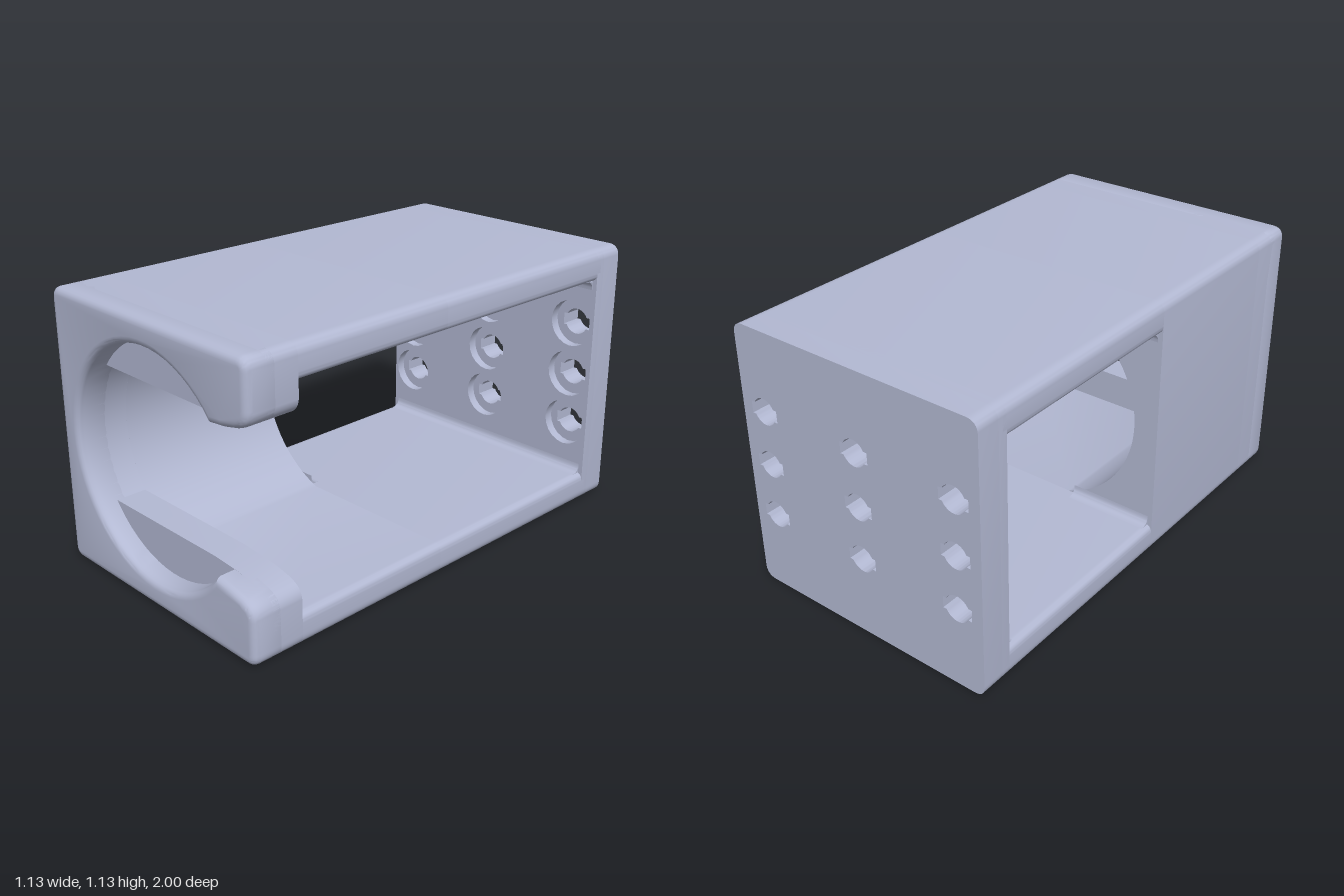
import * as THREE from 'three';
import { toCreasedNormals } from 'three/addons/utils/BufferGeometryUtils.js';

const W = 0.565, H = 1.13, CY = 0.565, R = 0.46, EDGE = 0.05;
const FLOOR = 0.13;

// Closed outline from [x, y, cornerRadius] points
function outline(pts) {
  const shape = new THREE.Shape();
  const n = pts.length;
  pts.forEach(([x, y, r = 0], i) => {
    const p = new THREE.Vector2(x, y);
    const toward = ([a, b]) => p.clone().add(new THREE.Vector2(a, b).sub(p).setLength(r));
    const a = r ? toward(pts[(i + n - 1) % n]) : p;
    if (i === 0) shape.moveTo(a.x, a.y);
    else shape.lineTo(a.x, a.y);
    if (r) {
      const b = toward(pts[(i + 1) % n]);
      shape.quadraticCurveTo(x, y, b.x, b.y);
    }
  });
  shape.closePath();
  return shape;
}

// C-shaped section: arc on the left, mirrored mouth edges running out to the right
function cSection(startAngle, mouth) {
  const arc = [];
  const steps = 48, end = 2 * Math.PI - startAngle;
  for (let i = 0; i <= steps; i++) {
    const a = end + (startAngle - end) * i / steps;
    arc.push([R * Math.cos(a), CY + R * Math.sin(a)]);
  }
  const upper = mouth.map(([x, d, r]) => [x, CY + d, r]);
  const lower = mouth.map(([x, d, r]) => [x, CY - d, r]).reverse();
  return outline([[W, 0, EDGE], ...lower, ...arc, ...upper,
    [W, H, EDGE], [-W, H, EDGE], [-W, 0, EDGE]]);
}

export function createModel() {
  const group = new THREE.Group();
  const material = new THREE.MeshStandardMaterial({ color: 0xb3b9d3 });
  material.name = 'paleBlueGrey';

  function add(name, geometry) {
    const mesh = new THREE.Mesh(toCreasedNormals(geometry, 0.5), material);
    mesh.name = name;
    group.add(mesh);
    return mesh;
  }
  function slice(name, shape, z0, z1, bevel = 0) {
    const geometry = new THREE.ExtrudeGeometry(shape, {
      depth: z1 - z0 - 2 * bevel, curveSegments: 10, bevelEnabled: bevel > 0,
      bevelThickness: bevel, bevelSize: bevel, bevelOffset: -bevel, bevelSegments: 5,
    });
    geometry.translate(0, 0, z0 + bevel);
    return add(name, geometry);
  }

  // Front rim: round recess with a flared mouth
  const flare = [[0.43, 0.295], [0.5, 0.31], [W, 0.335, 0.05]];
  slice('frontRim', cSection(Math.atan2(0.29, 0.36), flare), 0.85, 1, 0.03);

  // Retaining lip: narrower straight slot behind the recess
  slice('retainingLip',
    cSection(Math.PI - Math.asin(0.28 / R), [[0.25, 0.28], [0.36, 0.288], ...flare]), 0.78, 0.91);

  // Cradle: U-shaped bore open to the right
  const reach = CY - FLOOR;
  slice('cradle', cSection(Math.PI - Math.asin(reach / R), [[W, reach, 0.035]]), 0.06, 0.78);

  // Floor and roof beside the open bay
  for (const top of [false, true]) {
    const y = (v) => (top ? H - v : v);
    slice(top ? 'bayRoof' : 'bayFloor', outline([[-W, y(0), EDGE], [W, y(0), EDGE],
      [W, y(FLOOR), 0.035], [-W, y(FLOOR), 0.035]]), -0.88, 0.06);

    // Rounded inside corners of the bay
    const cove = (name, z, dir, x0, x1) => {
      const s = new THREE.Shape();
      s.moveTo(-z, y(FLOOR));
      s.lineTo(-z - dir * 0.04, y(FLOOR));
      s.quadraticCurveTo(-z, y(FLOOR), -z, y(FLOOR + 0.04));
      s.closePath();
      const g = new THREE.ExtrudeGeometry(s, { depth: x1 - x0, bevelEnabled: false, curveSegments: 6 });
      g.rotateY(Math.PI / 2);
      g.translate(x0, 0, 0);
      add(name, g);
    };
    cove('backCove', -0.86, 1, -0.545, 0.545);
    cove('windowCove', 0.06, -1, -0.545, -0.18);
  }

  // Back wall: keyed through-holes with round counterbores on the inside
  const plate = () => outline([[-W, 0, EDGE], [W, 0, EDGE], [W, H, EDGE], [-W, H, EDGE]]);
  const outer = plate(), inner = plate();
  for (const x of [-0.452, 0, 0.452]) {
    for (const y of [0.342, 0.568, 0.795]) {
      const bore = new THREE.Path();
      bore.absarc(x, y, 0.1, 0, 2 * Math.PI, true);
      inner.holes.push(bore);

      const key = new THREE.Path();
      const a = Math.asin(0.025 / 0.055);
      key.moveTo(x + 0.065, y - 0.025);
      key.lineTo(x + 0.065, y + 0.025);
      key.absarc(x, y, 0.055, a, Math.PI - a, false);
      key.lineTo(x - 0.065, y + 0.025);
      key.lineTo(x - 0.065, y - 0.025);
      key.absarc(x, y, 0.055, Math.PI + a, 2 * Math.PI - a, false);
      key.closePath();
      outer.holes.push(key);
    }
  }
  slice('backWall', outer, -1, -0.9);
  slice('counterboreWall', inner, -0.9, -0.86);

  return group;
}
